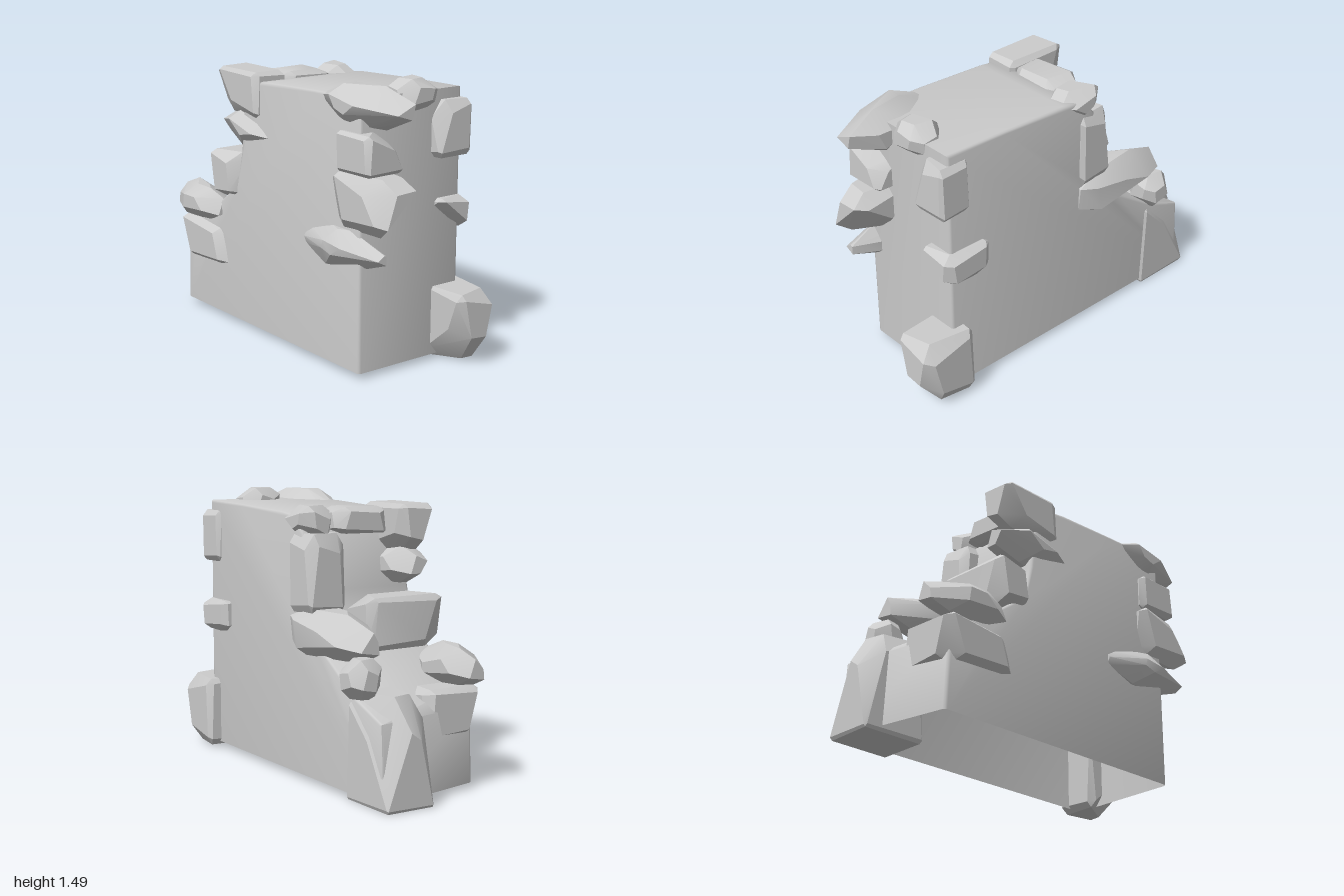
import * as THREE from 'three';
import { toCreasedNormals } from 'three/addons/utils/BufferGeometryUtils.js';
import { ConvexGeometry } from 'three/addons/geometries/ConvexGeometry.js';

const material = new THREE.MeshStandardMaterial({ color: 0xcccccc, side: THREE.DoubleSide });

// Rough stone: a box whose edges are chamfered by a different amount at each corner.
// One digit per corner (tenths of the size), ordered by x, y, z from low to high.
function stone(name, [x0, x1], [y0, y1], [z0, z1], cuts) {
  const points = [];
  const size = [x1 - x0, y1 - y0, z1 - z0];
  for (let i = 0; i < 8; i++) {
    const inward = [i & 4 ? -1 : 1, i & 2 ? -1 : 1, i & 1 ? -1 : 1];
    const corner = [i & 4 ? x1 : x0, i & 2 ? y1 : y0, i & 1 ? z1 : z0];
    const cut = Math.max(Number(cuts[i]), 0.3) / 10;
    // One point on each of the three faces that meet at this corner
    for (let face = 0; face < 3; face++) {
      const p = corner.map((value, axis) => {
        const amount = axis === face ? 0 : cut * (0.75 + 0.25 * ((i + axis + face) % 3));
        return value + inward[axis] * size[axis] * amount;
      });
      points.push(new THREE.Vector3(...p));
    }
  }
  const mesh = new THREE.Mesh(toCreasedNormals(new ConvexGeometry(points), 0.45), material);
  mesh.name = name;
  return mesh;
}

// Wall core: stepped side profile swept across the width, open underneath
function wallCore() {
  const bevel = 0.015;
  const profile = [
    [0.77, 0.04], [0.77, 1.425], [0.4, 1.42], [0, 1.405], [-0.13, 1.39], [-0.22, 1.3],
    [-0.25, 1.0], [-0.3, 0.8], [-0.45, 0.69], [-0.71, 0.52], [-0.8, 0.43], [-0.82, 0.04],
  ];
  const shape = new THREE.Shape(profile.map(([z, y]) => new THREE.Vector2(-z, y)));
  const solid = new THREE.ExtrudeGeometry(shape, {
    depth: 0.65 - 2 * bevel, bevelSize: bevel, bevelOffset: -bevel,
    bevelThickness: bevel, bevelSegments: 2,
  }).toNonIndexed();
  solid.rotateY(Math.PI / 2);
  solid.translate(-0.325 + bevel, 0, 0);
  const source = solid.attributes.position;
  // The foot of the back face runs at a slant, and the lower rim is level
  for (let i = 0; i < source.count; i++) {
    if (source.getY(i) < 0.06) source.setY(i, 0.03);
    if (source.getY(i) < 0.46 && source.getZ(i) < 0) {
      source.setZ(i, source.getZ(i) - 0.2 * (source.getX(i) + 0.325));
    }
  }
  // Drop the faces that look down at the ground
  const kept = [];
  const tri = new THREE.Triangle();
  const normal = new THREE.Vector3();
  for (let i = 0; i < source.count; i += 3) {
    tri.setFromAttributeAndIndices(source, i, i + 1, i + 2);
    tri.getNormal(normal);
    if (normal.y < -0.8) continue;
    for (const p of [tri.a, tri.b, tri.c]) kept.push(p.x, p.y, p.z);
  }
  const geometry = new THREE.BufferGeometry();
  geometry.setAttribute('position', new THREE.Float32BufferAttribute(kept, 3));
  const mesh = new THREE.Mesh(toCreasedNormals(geometry, 0.9), material);
  mesh.name = 'wallCore';
  return mesh;
}

export function createModel() {
  const group = new THREE.Group();
  group.name = 'stoneWallEnd';
  group.add(wallCore());

  const stones = [
    // Front edge, left side
    ['frontLeftFootStone', [0.15, 0.4], [0.01, 0.4], [0.68, 1.0], '14011312'],
    ['frontLeftMiddleStone', [0.16, 0.375], [0.69, 0.865], [0.54, 0.83], '47012212'],
    ['frontLeftUpperStone', [0.13, 0.35], [1.08, 1.37], [0.65, 0.835], '01331111'],
    // Front edge, right side
    ['frontRightTopStone', [-0.37, -0.1], [1.25, 1.48], [0.4, 0.98], '45355353'],
    ['frontRightUpperStone', [-0.36, -0.12], [1.05, 1.255], [0.6, 0.87], '11110124'],
    ['frontRightMiddleStone', [-0.37, -0.12], [0.765, 1.05], [0.58, 0.99], '22134512'],
    ['frontRightLowerStone', [-0.4, -0.24], [0.55, 0.76], [0.33, 0.93], '45453334'],
    ['frontTopStone', [-0.08, 0.16], [1.32, 1.49], [0.62, 0.82], '33333333'],
    // Top of the stepped back
    ['backTopLeftStone', [0.13, 0.34], [1.25, 1.44], [-0.28, -0.01], '35334523'],
    ['backTopMiddleStone', [-0.17, 0.16], [1.29, 1.43], [-0.3, -0.07], '12222122'],
    ['backTopRightStone', [-0.35, -0.15], [1.2, 1.445], [-0.45, -0.07], '31113111'],
    ['backUpperLeftStone', [0.12, 0.35], [0.89, 1.3], [-0.33, -0.12], '11211121'],
    ['backUpperRightStone', [-0.37, -0.15], [1.02, 1.22], [-0.45, 0.05], '44343333'],
    // Middle step
    ['backMiddleLeftStone', [0.11, 0.38], [0.68, 0.915], [-0.75, -0.12], '31413242'],
    ['backMiddleRightStone', [-0.37, 0.11], [0.7, 0.975], [-0.51, -0.28], '22121212'],
    // Bottom step
    ['backLowerLeftStone', [0.2, 0.39], [0.52, 0.72], [-0.81, -0.62], '33333333'],
    ['backLowerRightStone', [-0.4, -0.17], [0.54, 0.735], [-0.92, -0.45], '33433334'],
    ['backFootRightStone', [-0.365, -0.02], [0.28, 0.54], [-0.85, -0.38], '22121312'],
    ['backFootLeftStone', [0.05, 0.335], [0, 0.55], [-1.0, -0.64], '00310041'],
  ];
  for (const args of stones) group.add(stone(...args));
  return group;
}
